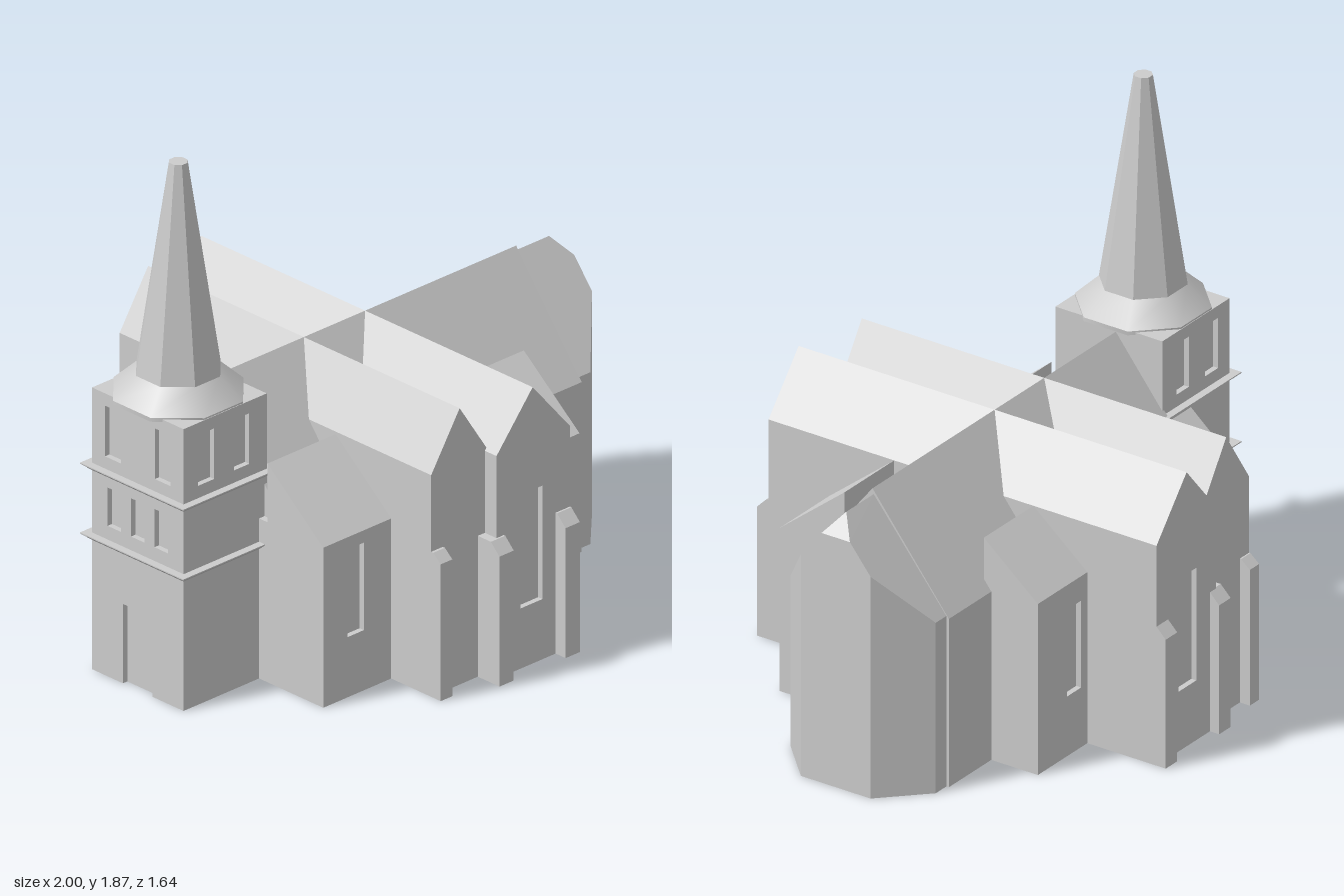
import * as THREE from 'three';
import { ConvexGeometry } from 'three/addons/geometries/ConvexGeometry.js';

const RECESS = 0.02;

export function createModel() {
  const church = new THREE.Group();
  church.name = 'church';
  const stone = new THREE.MeshStandardMaterial({ color: 0xcccccc });
  stone.name = 'paleStone';

  const add = (name, geometry) => {
    const mesh = new THREE.Mesh(geometry, stone);
    mesh.name = name;
    church.add(mesh);
    return mesh;
  };
  const rect = (a, b, y0, y1) => [[a, y0], [b, y0], [b, y1], [a, y1]];
  const toVectors = (points) => points.map(([a, b]) => new THREE.Vector2(a, b));

  // outline in (x, y), extruded from z0 to z1, with optional openings
  function prismZ(points, z0, z1, openings = []) {
    const shape = new THREE.Shape(toVectors(points));
    openings.forEach((o) => shape.holes.push(new THREE.Path(toVectors(o))));
    return new THREE.ExtrudeGeometry(shape, { depth: z1 - z0, bevelEnabled: false }).translate(0, 0, z0);
  }
  // outline in (z, y), extruded from x0 to x1
  const prismX = (points, x0, x1, openings) => prismZ(points, -x1, -x0, openings).rotateY(-Math.PI / 2);

  // solid whose two z ends are pierced by shallow window recesses
  function windowedBlock(name, points, z0, z1, openings) {
    add(name, prismZ(points, z0 + RECESS, z1 - RECESS));
    add(name + 'FrontWall', prismZ(points, z1 - RECESS, z1, openings));
    add(name + 'BackWall', prismZ(points, z0, z0 + RECESS, openings));
  }

  // nave with gabled roof
  add('nave', prismX([[-0.32, 0], [0.295, 0], [0.295, 0.62], [-0.013, 1.01], [-0.32, 0.62]], -0.6, 0.785));

  // chancel with cut corners and a small hip
  const chancelPoints = [];
  const ridgeZ = -0.018;
  for (const s of [-1, 1]) {
    for (const [x, dz, y] of [[0.78, 0.292, 0.628], [0.845, 0.292, 0.628], [1, 0.14, 0.817]]) {
      const z = ridgeZ + s * dz;
      chancelPoints.push(new THREE.Vector3(x, 0, z), new THREE.Vector3(x, y, z));
    }
    chancelPoints.push(new THREE.Vector3(1, 0.92, ridgeZ + s * 0.057));
  }
  chancelPoints.push(new THREE.Vector3(0.78, 0.99, ridgeZ), new THREE.Vector3(0.94, 0.99, ridgeZ));
  add('chancel', new ConvexGeometry(chancelPoints));

  // twin transepts
  add('westTransept', prismZ(
    [[-0.315, 0], [-0.06, 0], [-0.06, 0.82], [-0.185, 1.01], [-0.315, 0.81]], -0.745, 0.72));
  windowedBlock('eastTransept',
    [[-0.07, 0], [0.265, 0], [0.265, 0.81], [0.095, 1.01], [-0.07, 0.815]], -0.785, 0.775,
    [rect(0.04, 0.14, 0.22, 0.635)]);

  // side aisles with lean-to roofs on both sides of the nave
  for (const [name, x0, x1, w0, w1, eave, top] of [
    ['westAisle', -0.625, -0.315, -0.515, -0.44, 0.585, 0.8],
    ['eastAisle', 0.265, 0.545, 0.3, 0.38, 0.6, 0.81],
  ]) {
    windowedBlock(name, rect(x0, x1, 0, eave), -0.507, 0.532, [rect(w0, w1, 0.22, 0.54)]);
    add(name + 'FrontRoof', prismX([[0.27, eave], [0.532, eave], [0.27, top]], x0, x1));
    add(name + 'BackRoof', prismX(
      [[-0.29, eave], [-0.507, eave], [-0.507, eave + 0.03], [-0.29, top]], x0, x1));
  }

  // buttresses with sloping caps, front and back
  for (const s of [-1, 1]) {
    for (const [x0, x1, z, y, slope, rise] of [
      [-0.315, -0.262, s > 0 ? 0.765 : 0.785, 0.5, 0.035, 0.03],
      [-0.102, -0.037, 0.822, 0.475, 0.04, 0.04],
      [0.2, 0.265, 0.822, 0.475, 0.04, 0.04],
    ]) {
      add('buttress', prismX([
        [s * 0.7, 0], [s * z, 0], [s * z, y], [s * (z - slope), y + rise], [s * 0.7, y + rise],
      ], x0, x1));
    }
  }

  // tower body with belfry windows on front, back and west
  const west = -0.97, east = -0.59, back = -0.2, front = 0.23, top = 1.03;
  windowedBlock('tower', rect(west + RECESS, east, 0, top), back, front,
    [rect(-0.905, -0.83, 0.8, 0.985), rect(-0.74, -0.67, 0.8, 0.985)]);
  add('towerCorners', prismX(rect(back, back + RECESS, 0, top), west, west + RECESS));
  add('towerCorners', prismX(rect(front - RECESS, front, 0, top), west, west + RECESS));
  const cz = 0.015;
  const westOpenings = [-0.117, 0.117].map((d) => rect(cz + d - 0.037, cz + d + 0.037, 0.8, 0.985));
  [-0.11, 0, 0.11].forEach((d) => westOpenings.push(rect(cz + d - 0.032, cz + d + 0.032, 0.55, 0.69)));
  // the doorway is a notch in the foot of the west wall
  add('towerWestWall', prismX([
    [back + RECESS, 0], [cz - 0.07, 0], [cz - 0.07, 0.29], [cz + 0.07, 0.29], [cz + 0.07, 0],
    [front - RECESS, 0], [front - RECESS, top], [back + RECESS, top],
  ], west, west + RECESS, westOpenings));

  // tower string courses, flat on top and splayed beneath
  for (const y of [0.5, 0.755]) {
    const points = [];
    for (const [grow, py] of [[0, y - 0.027], [0.028, y - 0.004], [0.028, y]]) {
      for (const x of [west - grow, east + grow]) {
        for (const z of [back - grow, front + grow]) points.push(new THREE.Vector3(x, py, z));
      }
    }
    add('stringCourse', new ConvexGeometry(points));
  }

  // octagonal spire over a flared skirt
  const toRadius = 1 / Math.cos(Math.PI / 8);
  const octagon = (rTop, rBottom, y0, y1) => new THREE.CylinderGeometry(
    rTop * toRadius, rBottom * toRadius, y1 - y0, 8, 1).rotateY(Math.PI / 8)
    .translate(-0.785, (y0 + y1) / 2, cz);
  add('spireEave', octagon(0.213, 0.213, 1.022, 1.036));
  add('spireSkirt', octagon(0.137, 0.213, 1.036, 1.112));
  add('spire', octagon(0.03, 0.138, 1.112, 1.87).toNonIndexed()).geometry.computeVertexNormals();

  return church;
}
